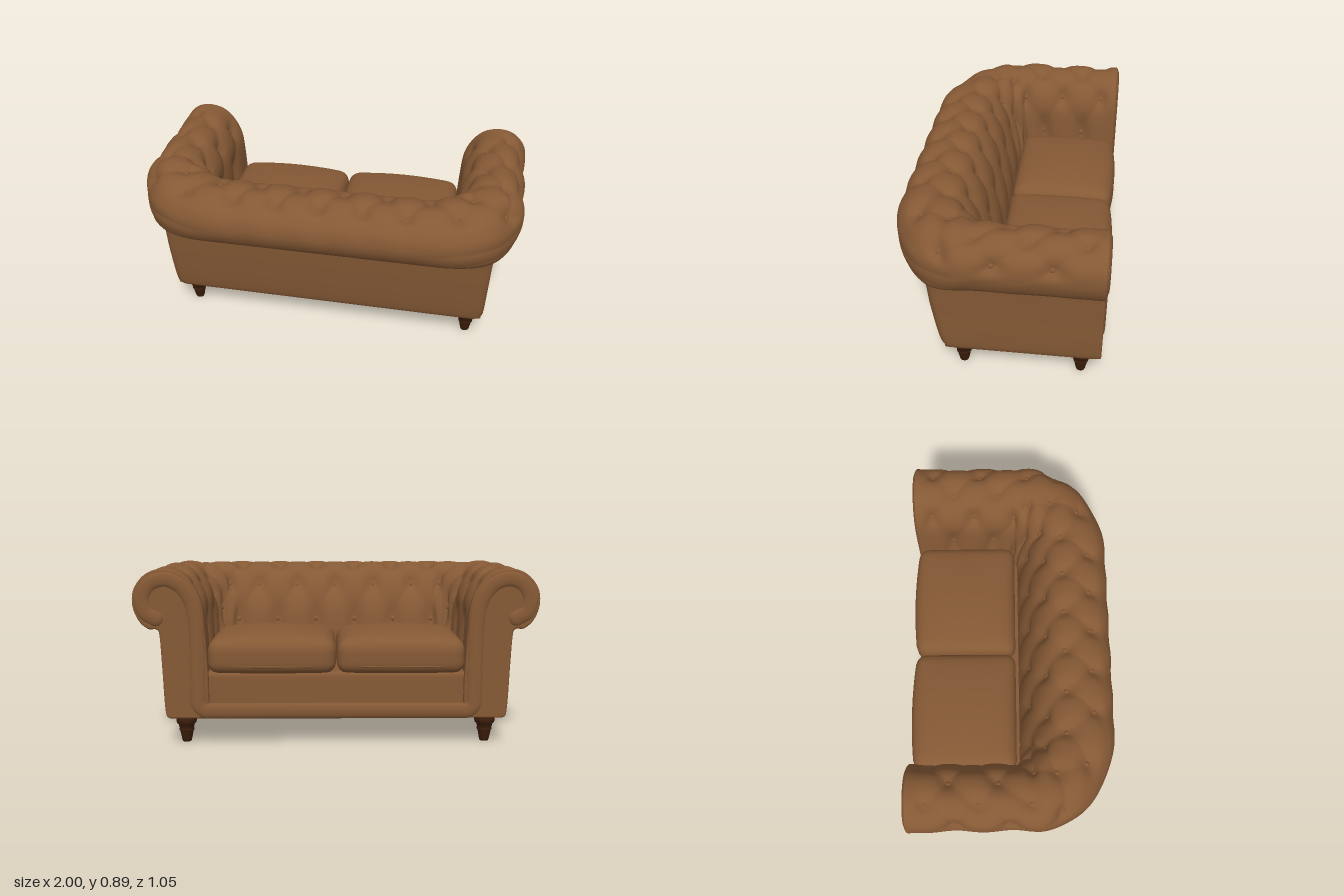
import * as THREE from 'three';
import { mergeVertices } from 'three/addons/utils/BufferGeometryUtils.js';

const leather = new THREE.MeshStandardMaterial({ color: 0x855935 });
leather.name = 'brown leather';
const wood = new THREE.MeshStandardMaterial({ color: 0x3c1e0a });
wood.name = 'dark wood';

// Section of arms and back, from outer foot over the roll to the inner seat line:
// [half width x, height y, back z, corner radius]
const SECTION = [
  [0.83, 0.14, 0.255, 0.04], [0.852, 0.175, 0.292, 0.05], [0.862, 0.4, 0.33, 0.05],
  [0.87, 0.56, 0.347, 0.06], [0.885, 0.59, 0.37, 0.09], [0.925, 0.593, 0.42, 0.2],
  [0.97, 0.635, 0.485, 0.33], [0.997, 0.71, 0.523, 0.41], [0.988, 0.79, 0.515, 0.41],
  [0.935, 0.858, 0.46, 0.37], [0.86, 0.887, 0.37, 0.31], [0.77, 0.872, 0.27, 0.24],
  [0.705, 0.815, 0.19, 0.17], [0.66, 0.72, 0.13, 0.11], [0.645, 0.57, 0.075, 0.07],
  [0.635, 0.34, 0.04, 0.06],
];
const LAST = SECTION.length - 1;
const sectionCurve = new THREE.CatmullRomCurve3(
  SECTION.map(([x, y, z]) => new THREE.Vector3(x, y, z)), false, 'catmullrom', 0.5);
const C_ARM = 4.6, C_END = 6.85, Z_FRONT = -0.5, COLUMN = 0.215;
const smooth = THREE.MathUtils.smoothstep;

function add(parent, name, geometry, material = leather) {
  const mesh = new THREE.Mesh(geometry, material);
  mesh.name = name;
  parent.add(mesh);
  return mesh;
}

// Point on the U-shaped shell: c runs along the U, j along the section
function shellPoint(c, j) {
  const p = sectionCurve.getPoint(j / LAST);
  const k = Math.min(Math.floor(j), LAST - 1);
  const rz = THREE.MathUtils.lerp(SECTION[k][3], SECTION[k + 1][3], j - k), rx = 1.25 * rz;
  const a = Math.abs(c), cBack = Math.min(3, (p.x - rx) / COLUMN);
  let x, z;
  if (a <= cBack) {
    x = (p.x - rx) * a / cBack;
    z = p.z;
  } else if (a <= C_ARM) {
    const t = (a - cBack) / (C_ARM - cBack) * Math.PI / 2;
    x = p.x - rx + rx * Math.sin(t);
    z = p.z - rz + rz * Math.cos(t);
  } else {
    x = p.x;
    z = THREE.MathUtils.lerp(p.z - rz, Z_FRONT, (a - C_ARM) / (C_END - C_ARM));
  }
  // The roll sits a little lower along the back than on the arms
  const sag = 0.018 * smooth(z, 0.05, 0.4) * smooth(p.y, 0.45, 0.57);
  return [Math.sign(c) * x, p.y - sag, z];
}

// Diamond tufting: section position of the first row, and depth at a place on the shell
const rowStart = c => 9.4 - 1.5 * smooth(Math.abs(c), 2.8, 4.8);
const ROW = 1.55;
function tuftDepth(c, j) {
  const k = (j - rowStart(c)) / ROW;
  const p = c + k / 2, q = c - k / 2;
  const dp = p - Math.round(p), dq = q - Math.round(q);
  const folds = 1 - Math.sqrt(Math.abs(Math.sin(Math.PI * p) * Math.sin(Math.PI * q)));
  const dent = Math.exp(-(dp * dp + dq * dq) / 0.06);
  const lobes = (0.5 + 0.5 * Math.cos(2 * Math.PI * c)) * smooth(k, -2, -0.3) * (1 - smooth(k, -0.3, 0.3));
  const ends = 1 - smooth(Math.abs(c), 6.45, 6.82);
  return ends * (0.013 * folds * smooth(k, -0.5, 0.3) + 0.024 * dent * smooth(k, -0.7, -0.3) + 0.012 * lobes);
}

function buildShell(group) {
  const nu = 190, nv = 120, pos = [], index = [];
  const cAt = i => -C_END + 2 * C_END * i / nu, jAt = m => LAST * m / nv;
  for (let i = 0; i <= nu; i++) {
    for (let m = 0; m <= nv; m++) {
      pos.push(...shellPoint(cAt(i), jAt(m)));
      if (i < nu && m < nv) {
        const a = i * (nv + 1) + m, b = a + nv + 1;
        index.push(a, b, b + 1, a, b + 1, a + 1);
      }
    }
  }
  const geo = new THREE.BufferGeometry();
  geo.setAttribute('position', new THREE.Float32BufferAttribute(pos, 3));
  geo.setIndex(index);
  geo.computeVertexNormals();
  const P = geo.attributes.position, N = geo.attributes.normal.clone();
  for (let n = 0; n < P.count; n++) {
    const d = tuftDepth(cAt(Math.floor(n / (nv + 1))), jAt(n % (nv + 1)));
    P.setXYZ(n, P.getX(n) - d * N.getX(n), P.getY(n) - d * N.getY(n), P.getZ(n) - d * N.getZ(n));
  }
  geo.computeVertexNormals();
  add(group, 'tuftedArmsAndBack', geo);

  // Buttons at the tuft points above the seat
  const buttons = new THREE.Group();
  buttons.name = 'buttons';
  group.add(buttons);
  const ball = new THREE.SphereGeometry(0.014, 10, 8).scale(1, 1, 0.6);
  for (let k = 0; k <= 4; k++) {
    for (let c = -6 - (k % 2) / 2; c <= 6.5; c++) {
      const j = rowStart(c) + ROW * k;
      if (j > 14.3) continue;
      const n = Math.round((c + C_END) / (2 * C_END) * nu) * (nv + 1) + Math.round(j / LAST * nv);
      const b = add(buttons, 'button', ball);
      b.position.fromBufferAttribute(P, n);
      b.quaternion.setFromUnitVectors(new THREE.Vector3(0, 0, 1), new THREE.Vector3().fromBufferAttribute(N, n));
    }
  }
}

// Box with rounded edges and many faces, with an optional rule that moves its vertices
function softBox(w, h, d, r, rule) {
  let geo = new THREE.BoxGeometry(w, h, d, 24, 10, 24);
  geo.deleteAttribute('uv');
  geo.deleteAttribute('normal');
  geo = mergeVertices(geo);
  const P = geo.attributes.position, v = new THREE.Vector3(), core = new THREE.Vector3();
  const lim = new THREE.Vector3(w / 2 - r, h / 2 - r, d / 2 - r);
  for (let i = 0; i < P.count; i++) {
    v.fromBufferAttribute(P, i);
    core.copy(v).clamp(lim.clone().negate(), lim);
    v.sub(core).setLength(r).add(core);
    if (rule) rule(v);
    P.setXYZ(i, v.x, v.y, v.z);
  }
  geo.computeVertexNormals();
  return geo;
}

function tube(points, radius, segments, closed = false) {
  const curve = new THREE.CatmullRomCurve3(points.map(p => new THREE.Vector3(...p)), closed);
  return new THREE.TubeGeometry(curve, segments, radius, 12, closed);
}

export function createModel() {
  const sofa = new THREE.Group();
  sofa.name = 'sofa';
  buildShell(sofa);

  // Base and front rail
  add(sofa, 'seatBase', softBox(1.33, 0.23, 0.68, 0.01)).position.set(0, 0.255, -0.145);
  add(sofa, 'bottomPanel', softBox(1.69, 0.03, 0.76, 0.012)).position.set(0, 0.152, -0.115);
  add(sofa, 'frontRail', softBox(1.32, 0.075, 0.05, 0.012)).position.set(0, 0.177, -0.478);

  // Arm fronts
  for (const s of [-1, 1]) {
    const outline = sectionCurve.getPoints(75).map(p => new THREE.Vector2(s * p.x, p.y));
    outline.push(new THREE.Vector2(s * 0.635, 0.14));
    const geo = new THREE.ExtrudeGeometry(new THREE.Shape(outline), {
      depth: 0.012, bevelThickness: 0.01, bevelSize: 0.01, bevelOffset: -0.01, bevelSegments: 4,
    });
    add(sofa, 'armFront', geo).position.z = -0.497;
  }

  // Flat padded band from one scroll, down the arm, along the rail and up to the other
  const scroll = [
    [0.3, 0.18], [0.6, 0.18], [0.66, 0.183], [0.685, 0.21], [0.687, 0.27], [0.687, 0.45], [0.69, 0.62],
    [0.71, 0.73], [0.76, 0.805], [0.835, 0.838], [0.91, 0.815], [0.95, 0.745], [0.935, 0.675], [0.885, 0.645],
  ];
  const path = [...scroll.map(([x, y]) => [-x, y, 0]).reverse(), ...scroll.map(([x, y]) => [x, y, 0])];
  add(sofa, 'frontBand', tube(path, 0.04, 240).scale(1, 1, 0.4)).position.z = -0.502;
  const capGeo = new THREE.SphereGeometry(0.04, 20, 14).scale(1, 1, 0.4);
  for (const s of [-1, 1]) add(sofa, 'scrollEnd', capGeo).position.set(s * 0.885, 0.645, -0.502);

  // Seat cushions with a crowned top, bowed front and a seam near the lower edge
  const W = 0.64, D = 0.54;
  const bow = v => {
    const fx = Math.max(0, 1 - (2 * v.x / W) ** 2), fz = Math.max(0, 1 - (2 * v.z / D) ** 2);
    if (v.y > 0) v.y += 0.045 * fx ** 0.6 * fz ** 0.6;
    if (v.z < 0) v.z -= 0.02 * fx * (-2 * v.z / D);
  };
  const seam = [];
  for (let i = 0; i < 48; i++) {
    const t = i / 48 * Math.PI * 2, c = Math.cos(t), q = Math.sin(t);
    const v = new THREE.Vector3(
      Math.sign(c) * Math.abs(c) ** 0.3 * (W / 2 - 0.005), -0.04,
      Math.sign(q) * Math.abs(q) ** 0.3 * (D / 2 - 0.005));
    bow(v);
    seam.push(v.toArray());
  }
  const cushionGeo = softBox(W, 0.165, D, 0.055, bow), seamGeo = tube(seam, 0.006, 120, true);
  for (const s of [-1, 1]) {
    const cushion = new THREE.Group();
    cushion.name = 'seatCushion';
    cushion.position.set(s * 0.322, 0.445, -0.235);
    sofa.add(cushion);
    add(cushion, 'cushionPad', cushionGeo);
    add(cushion, 'cushionSeam', seamGeo);
  }

  // Turned legs
  const legProfile = [
    [0, 0], [0.022, 0], [0.025, 0.01], [0.034, 0.055], [0.038, 0.06], [0.038, 0.068], [0.034, 0.072],
    [0.04, 0.08], [0.04, 0.088], [0.049, 0.097], [0.053, 0.112], [0.05, 0.128], [0.042, 0.138], [0, 0.145],
  ].map(([x, y]) => new THREE.Vector2(x, y));
  const legGeo = new THREE.LatheGeometry(legProfile, 20);
  for (const x of [-0.76, 0.765]) {
    for (const z of [-0.408, 0.182]) add(sofa, 'leg', legGeo, wood).position.set(x, 0, z);
  }
  return sofa;
}
